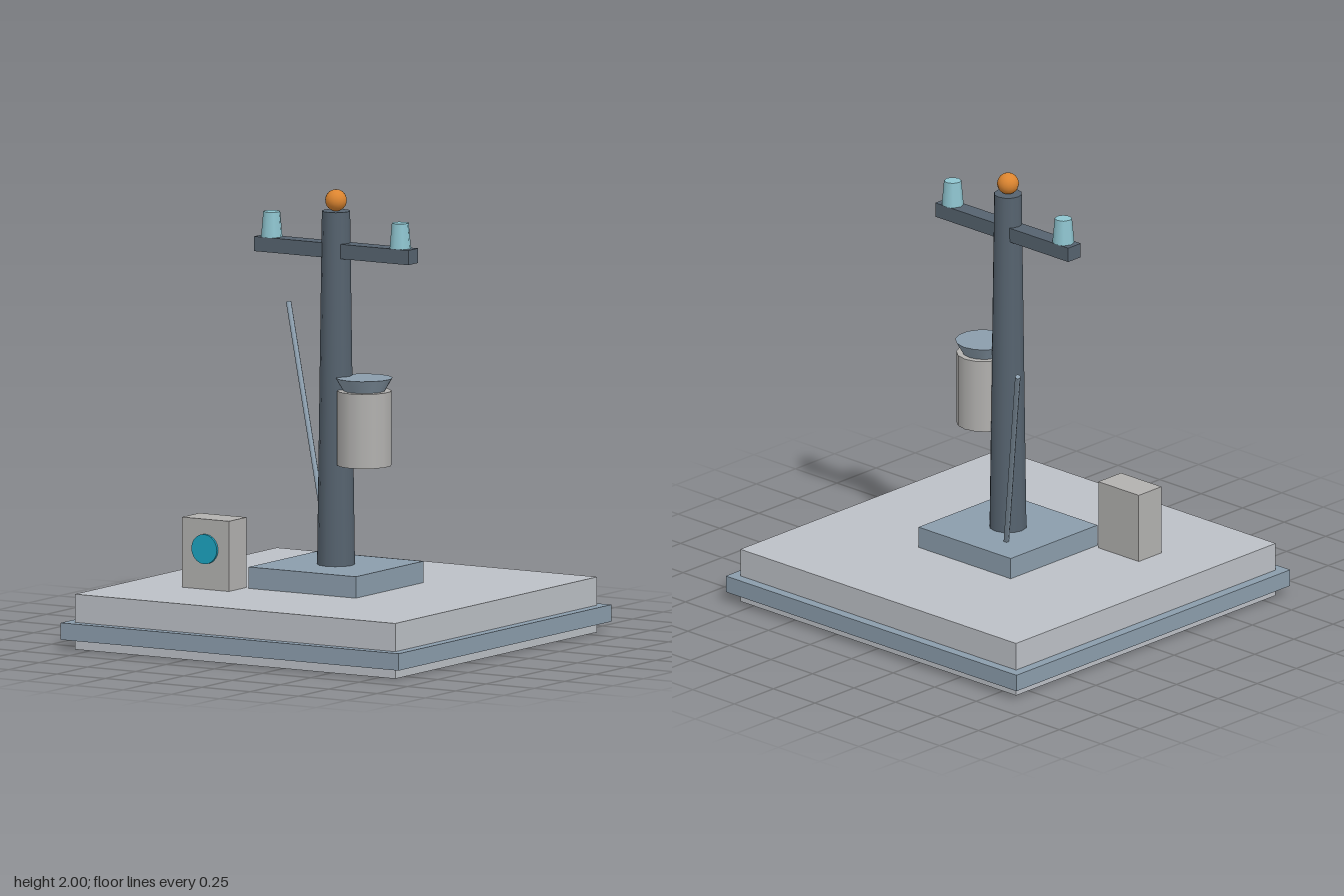
import * as THREE from 'three';

const paint = (color) => new THREE.MeshStandardMaterial({ color });

export function createModel() {
  const model = new THREE.Group();
  const steel = paint(0x8b9dac);
  const pale = paint(0xbcc0c6);
  const dark = paint(0x56636f);
  const grey = paint(0xb2b1af);
  const glass = paint(0x8fc5d0);

  const add = (name, geometry, material, x, y, z) => {
    const mesh = new THREE.Mesh(geometry, material);
    mesh.name = name;
    mesh.position.set(x, y, z);
    model.add(mesh);
    return mesh;
  };
  // Box resting on y0 and reaching y1
  const slab = (name, w, d, y0, y1, material, x = 0, z = 0) =>
    add(name, new THREE.BoxGeometry(w, y1 - y0, d), material, x, (y0 + y1) / 2, z);
  // Upright tapered cylinder from y0 to y1
  const post = (name, rTop, rBottom, y0, y1, sides, material, x = 0, z = 0) =>
    add(name, new THREE.CylinderGeometry(rTop, rBottom, y1 - y0, sides), material, x, (y0 + y1) / 2, z);

  // Ground platform
  slab('platform', 1.66, 1.66, 0, 0.245, pale);
  slab('platformTrim', 1.75, 1.75, 0.045, 0.12, steel);
  slab('plinth', 0.555, 0.555, 0.245, 0.34, steel);

  // Pole with crossarm and beacon
  post('pole', 0.062, 0.083, 0.34, 1.905, 12, dark);
  slab('crossarm', 0.8, 0.08, 1.7, 1.765, dark);
  add('beacon', new THREE.SphereGeometry(0.048, 16, 12), paint(0xdc8530), 0, 1.952, 0);
  for (const side of [-1, 1]) {
    post(side > 0 ? 'leftInsulator' : 'rightInsulator', 0.038, 0.048, 1.765, 1.877, 8, glass, side * 0.333);
  }

  // Transformer hung beside the pole, with a flared lid
  post('transformerTank', 0.12, 0.12, 0.79, 1.12, 14, grey, 0.147);
  post('transformerLid', 0.125, 0.092, 1.12, 1.177, 14, steel, 0.147);

  // Meter box with a round dial
  slab('meterBox', 0.243, 0.145, 0.245, 0.556, grey, -0.422, 0.331);
  const dial = add('meterDial', new THREE.CylinderGeometry(0.066, 0.066, 0.03, 20), paint(0x1ca3c0), -0.422, 0.424, 0.4);
  dial.rotation.x = Math.PI / 2;

  // Leaning guy rod
  const foot = new THREE.Vector3(-0.115, 0.33, -0.133);
  const tip = new THREE.Vector3(-0.622, 1.378, -0.598);
  const span = tip.clone().sub(foot);
  const rod = add('guyRod', new THREE.CylinderGeometry(0.012, 0.012, span.length(), 8), steel, 0, 0, 0);
  rod.position.copy(foot).add(tip).multiplyScalar(0.5);
  rod.quaternion.setFromUnitVectors(new THREE.Vector3(0, 1, 0), span.normalize());

  return model;
}
